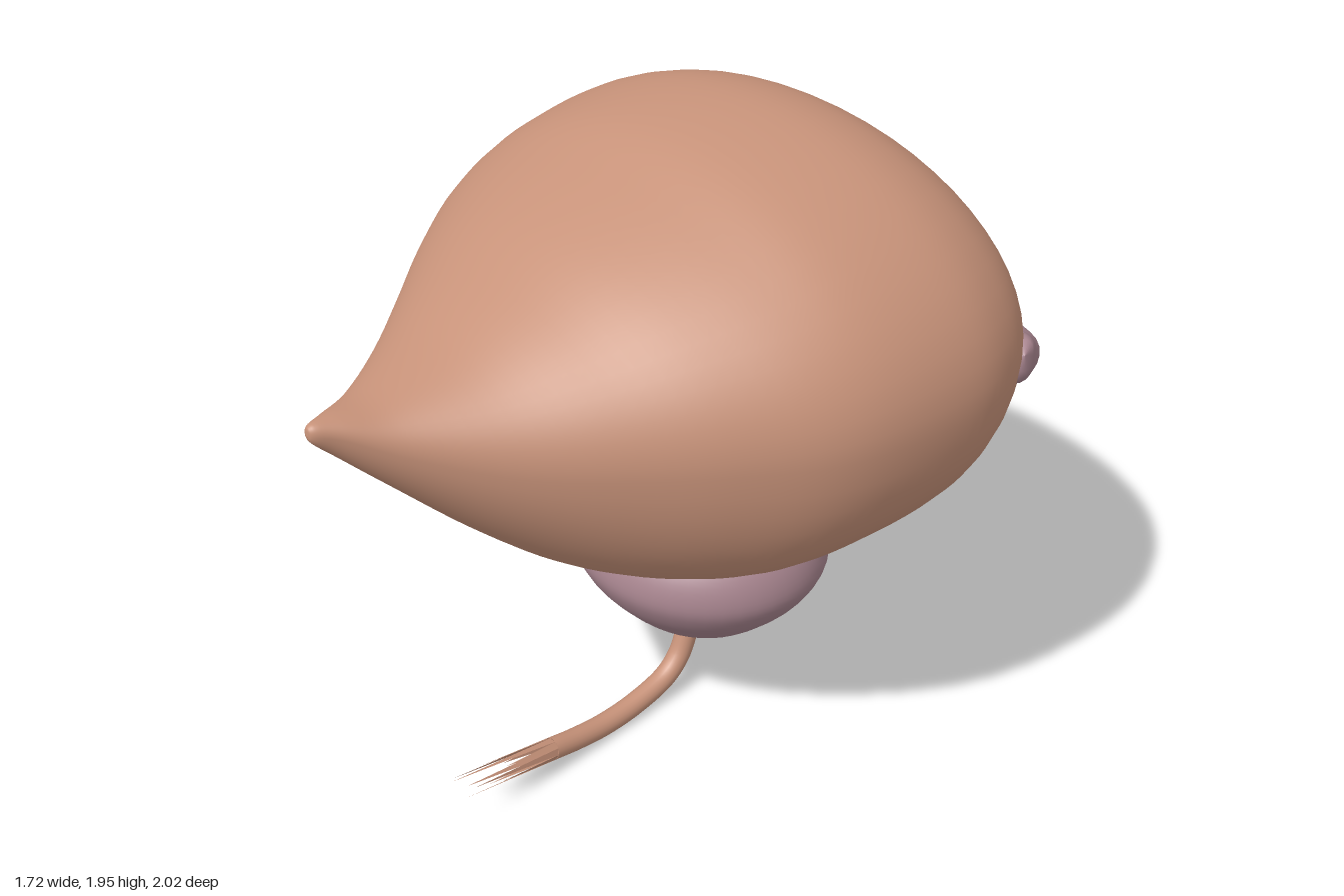
import * as THREE from 'three';

const V = (x, y, z) => new THREE.Vector3(x, y, z);

// Closed skin over equal-length rings; rings run anticlockwise seen from the end of the path
function loft(rings) {
  const n = rings[0].length, pos = [], idx = [];
  rings.forEach(r => r.forEach(p => pos.push(p.x, p.y, p.z)));
  for (let i = 0; i < rings.length - 1; i++) {
    for (let j = 0; j < n; j++) {
      const k = (j + 1) % n;
      const a = i * n + j, b = i * n + k, c = a + n, d = b + n;
      idx.push(a, b, c, b, d, c);
    }
  }
  const g = new THREE.BufferGeometry();
  g.setAttribute('position', new THREE.Float32BufferAttribute(pos, 3));
  g.setIndex(idx);
  g.computeVertexNormals();
  return g;
}

// Large pouch: sections along z as [z, top, bottom, half width, height of widest point]
function bladderGeometry() {
  const sections = [
    [-0.97, 1.38, 1.38, 0, 1.38], [-0.963, 1.47, 1.27, 0.2, 1.38], [-0.943, 1.57, 1.18, 0.36, 1.38],
    [-0.9, 1.67, 1.07, 0.54, 1.38], [-0.83, 1.79, 0.95, 0.68, 1.38], [-0.75, 1.865, 0.875, 0.765, 1.38],
    [-0.62, 1.93, 0.795, 0.83, 1.38], [-0.45, 1.955, 0.76, 0.862, 1.38], [-0.2, 1.93, 0.745, 0.835, 1.38],
    [0, 1.865, 0.755, 0.77, 1.38], [0.2, 1.79, 0.82, 0.64, 1.38], [0.4, 1.7, 0.94, 0.48, 1.38],
    [0.6, 1.625, 1.12, 0.315, 1.4], [0.8, 1.585, 1.33, 0.15, 1.47], [0.93, 1.588, 1.47, 0.055, 1.54],
    [0.99, 1.585, 1.535, 0.02, 1.56], [1, 1.56, 1.56, 0, 1.56],
  ];
  const heights = new THREE.CatmullRomCurve3(sections.map(s => V(s[0], s[1], s[2])), false, 'catmullrom');
  const widths = new THREE.CatmullRomCurve3(sections.map(s => V(s[3], s[4], 0)), false, 'catmullrom');
  const rings = [], steps = 80, sides = 56;
  for (let i = 0; i <= steps; i++) {
    const h = heights.getPoint(i / steps), w = widths.getPoint(i / steps);
    const ring = [];
    for (let j = 0; j < sides; j++) {
      const a = j / sides * Math.PI * 2, c = Math.cos(a), s = Math.sin(a);
      const e = s > 0 ? 1 : 0.93; // slightly fuller underside
      const x = Math.sign(c) * Math.abs(c) ** e * w.x;
      const y = w.y + Math.sign(s) * Math.abs(s) ** e * (s > 0 ? h.y - w.y : w.y - h.z);
      ring.push(V(x, y, h.x));
    }
    rings.push(ring);
  }
  return loft(rings);
}

// Lumpy flattened gland hugging the back of the pouch
function vesicleGeometry(side) {
  const path = new THREE.CatmullRomCurve3([
    V(0.09, 0.77, -0.61), V(0.2, 0.85, -0.73), V(0.33, 0.97, -0.845),
    V(0.48, 1.13, -0.905), V(0.62, 1.26, -0.875), V(0.765, 1.37, -0.765),
  ].map(p => V(p.x * side, p.y, p.z)));
  const rings = [], steps = 48, sides = 24, core = V(0, 1.35, -0.2);
  for (let i = 0; i <= steps; i++) {
    const t = i / steps, p = path.getPoint(t), T = path.getTangent(t);
    const N = p.clone().sub(core);
    N.addScaledVector(T, -N.dot(T)).normalize();
    const W = N.clone().cross(T);
    const cap = Math.sqrt(Math.max(0, 1 - Math.abs(2 * t - 1) ** 8));
    const wide = (0.05 + 0.075 * Math.sin(Math.PI * Math.min(1, t * 0.92))) * cap;
    const ring = [];
    for (let j = 0; j < sides; j++) {
      const a = j / sides * Math.PI * 2, m = a * side;
      const bump = 1 + 0.09 * Math.sin(t * 34 + 2 * m) + 0.08 * Math.sin(t * 21 - 3 * m + 1);
      ring.push(p.clone()
        .addScaledVector(W, Math.cos(a) * wide * bump)
        .addScaledVector(N, Math.sin(a) * (0.045 + wide * 0.3) * cap * bump));
    }
    rings.push(ring);
  }
  return loft(rings);
}

// Torn end of the duct: pointed strips continuing from its rim
function frayGeometry(center, dir, radius) {
  const lengths = [0.33, 0.2, 0.39, 0.27, 0.36, 0.16, 0.31, 0.24, 0.35, 0.22];
  const up = V(0, dir.z, -dir.y), n = lengths.length, pos = [];
  const rim = (k, d) => center.clone().addScaledVector(dir, d)
    .add(V(Math.cos(k / n * Math.PI * 2) * radius, 0, 0))
    .addScaledVector(up, Math.sin(k / n * Math.PI * 2) * radius);
  lengths.forEach((len, k) => {
    for (const p of [rim(k, 0), rim(k + 1, 0), rim(k + 0.5, len)]) pos.push(p.x, p.y, p.z);
  });
  const g = new THREE.BufferGeometry();
  g.setAttribute('position', new THREE.Float32BufferAttribute(pos, 3));
  g.computeVertexNormals();
  return g;
}

export function createModel() {
  const model = new THREE.Group();
  const tan = new THREE.MeshStandardMaterial({ color: 0xc8937a });
  tan.name = 'tan tissue';
  const tanOpen = tan;
  tanOpen.side = THREE.DoubleSide;
  const mauve = new THREE.MeshStandardMaterial({ color: 0xa8858f });
  mauve.name = 'mauve tissue';
  const add = (name, geometry, material) => {
    const mesh = new THREE.Mesh(geometry, material);
    mesh.name = name;
    model.add(mesh);
    return mesh;
  };

  add('bladder', bladderGeometry(), tan);

  // Rounded gland beneath the pouch
  const profile = new THREE.SplineCurve([
    [0, 0.27], [0.1, 0.28], [0.23, 0.345], [0.335, 0.445], [0.39, 0.52], [0.41, 0.585],
    [0.39, 0.66], [0.34, 0.72], [0.25, 0.765], [0, 0.8],
  ].map(p => new THREE.Vector2(...p))).getPoints(36);
  profile.forEach(p => { p.x = Math.max(0, p.x); });
  const gland = add('prostate', new THREE.LatheGeometry(profile, 48), mauve);
  gland.scale.z = 0.915;
  gland.position.z = -0.325;

  for (const side of [1, -1]) {
    add(side > 0 ? 'leftSeminalVesicle' : 'rightSeminalVesicle', vesicleGeometry(side), mauve);
  }

  // Curved duct with a frayed open end
  const duct = new THREE.CatmullRomCurve3([
    V(0, 0.32, -0.33), V(0, 0.24, -0.295), V(0, 0.13, -0.25), V(0, 0.075, -0.19),
    V(0, 0.042, -0.06), V(0, 0.038, 0.07), V(0, 0.055, 0.19), V(0, 0.078, 0.29),
  ]);
  add('urethra', new THREE.TubeGeometry(duct, 48, 0.035, 20), tan);
  add('frayedEnd', frayGeometry(duct.getPoint(1), duct.getTangent(1), 0.035), tan);

  return model;
}
